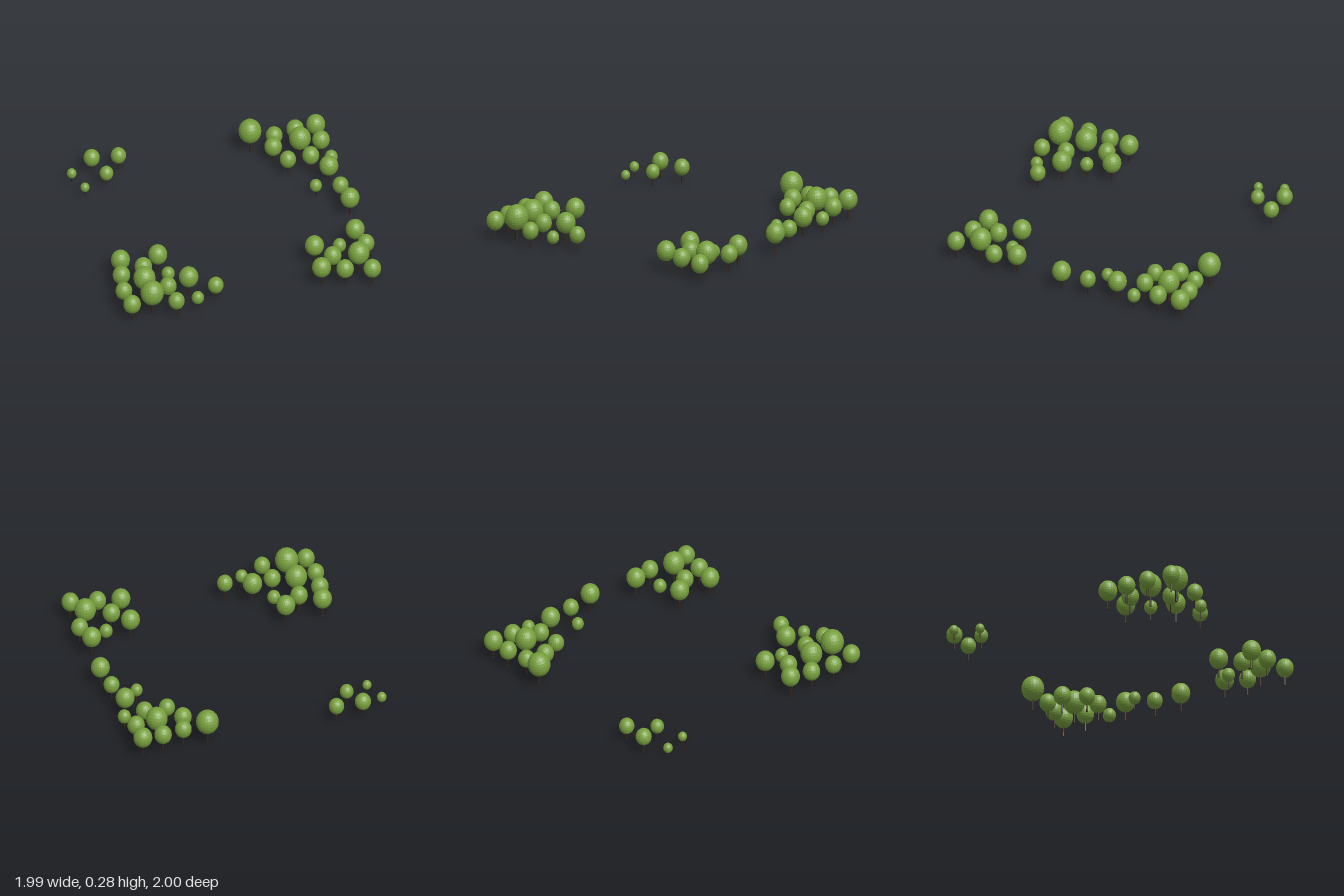
import * as THREE from 'three';

// Each tree: [x, z, crown radius]
const groves = {
  backLeftGrove: [
    [0.41, -0.918, 0.083], [0.583, -0.888, 0.061], [0.747, -0.92, 0.064], [0.902, -0.926, 0.069],
    [0.54, -0.745, 0.064], [0.742, -0.755, 0.079], [0.896, -0.745, 0.064], [0.609, -0.58, 0.059],
    [0.779, -0.58, 0.062], [0.928, -0.566, 0.048], [0.87, -0.404, 0.069], [0.737, -0.259, 0.044],
    [0.902, -0.181, 0.058], [0.922, 0.021, 0.069],
  ],
  backRightGrove: [
    [-0.933, -0.856, 0.035], [-0.763, -0.941, 0.059], [-0.566, -0.931, 0.056],
    [-0.699, -0.755, 0.05], [-0.88, -0.67, 0.033],
  ],
  frontRightGrove: [
    [-0.875, 0.372, 0.069], [-0.597, 0.372, 0.069], [-0.731, 0.479, 0.064], [-0.91, 0.543, 0.064],
    [-0.566, 0.559, 0.048], [-0.769, 0.665, 0.08], [-0.938, 0.729, 0.061], [-0.614, 0.75, 0.062],
    [-0.449, 0.702, 0.071], [-0.763, 0.872, 0.085], [-0.923, 0.915, 0.064], [-0.597, 0.936, 0.059],
    [-0.428, 0.894, 0.045], [-0.274, 0.809, 0.057],
  ],
  frontLeftGrove: [
    [0.864, 0.41, 0.069], [0.529, 0.537, 0.069], [0.721, 0.516, 0.048], [0.902, 0.577, 0.062],
    [0.63, 0.676, 0.064], [0.811, 0.729, 0.078], [0.513, 0.814, 0.069], [0.678, 0.856, 0.064],
    [0.87, 0.899, 0.064],
  ],
};

// Cube subdivided and pushed out to a unit sphere
function quadSphere(n) {
  const geo = new THREE.BoxGeometry(2, 2, 2, n, n, n);
  const pos = geo.attributes.position;
  const v = new THREE.Vector3();
  for (let i = 0; i < pos.count; i++) {
    v.fromBufferAttribute(pos, i);
    v.set(Math.tan(v.x * Math.PI / 4), Math.tan(v.y * Math.PI / 4), Math.tan(v.z * Math.PI / 4)).normalize();
    pos.setXYZ(i, v.x, v.y, v.z);
  }
  geo.computeVertexNormals();
  return geo;
}

export function createModel() {
  const leaf = new THREE.MeshStandardMaterial({ color: 0x78a03f, flatShading: true });
  leaf.name = 'leaf green';
  const bark = new THREE.MeshStandardMaterial({ color: 0x35261a, flatShading: true });
  bark.name = 'bark brown';

  // Unit tree: crown radius 1, slightly taller than wide, on a thin trunk
  const crownGeo = quadSphere(6);
  crownGeo.scale(1, 1.12, 1);
  crownGeo.translate(0, 2.14, 0);
  const trunkGeo = new THREE.CylinderGeometry(0.09, 0.1, 1.4, 8);
  trunkGeo.translate(0, 0.7, 0);

  const model = new THREE.Group();
  model.name = 'treeGroves';
  let count = 0;
  for (const [name, trees] of Object.entries(groves)) {
    const grove = new THREE.Group();
    grove.name = name;
    for (const [x, z, r] of trees) {
      const tree = new THREE.Group();
      tree.name = 'tree';
      const crown = new THREE.Mesh(crownGeo, leaf);
      crown.name = 'crown';
      const trunk = new THREE.Mesh(trunkGeo, bark);
      trunk.name = 'trunk';
      tree.add(crown, trunk);
      tree.position.set(x, 0, z);
      tree.rotation.y = count++ * 2.4;
      tree.scale.setScalar(r);
      grove.add(tree);
    }
    model.add(grove);
  }
  return model;
}
